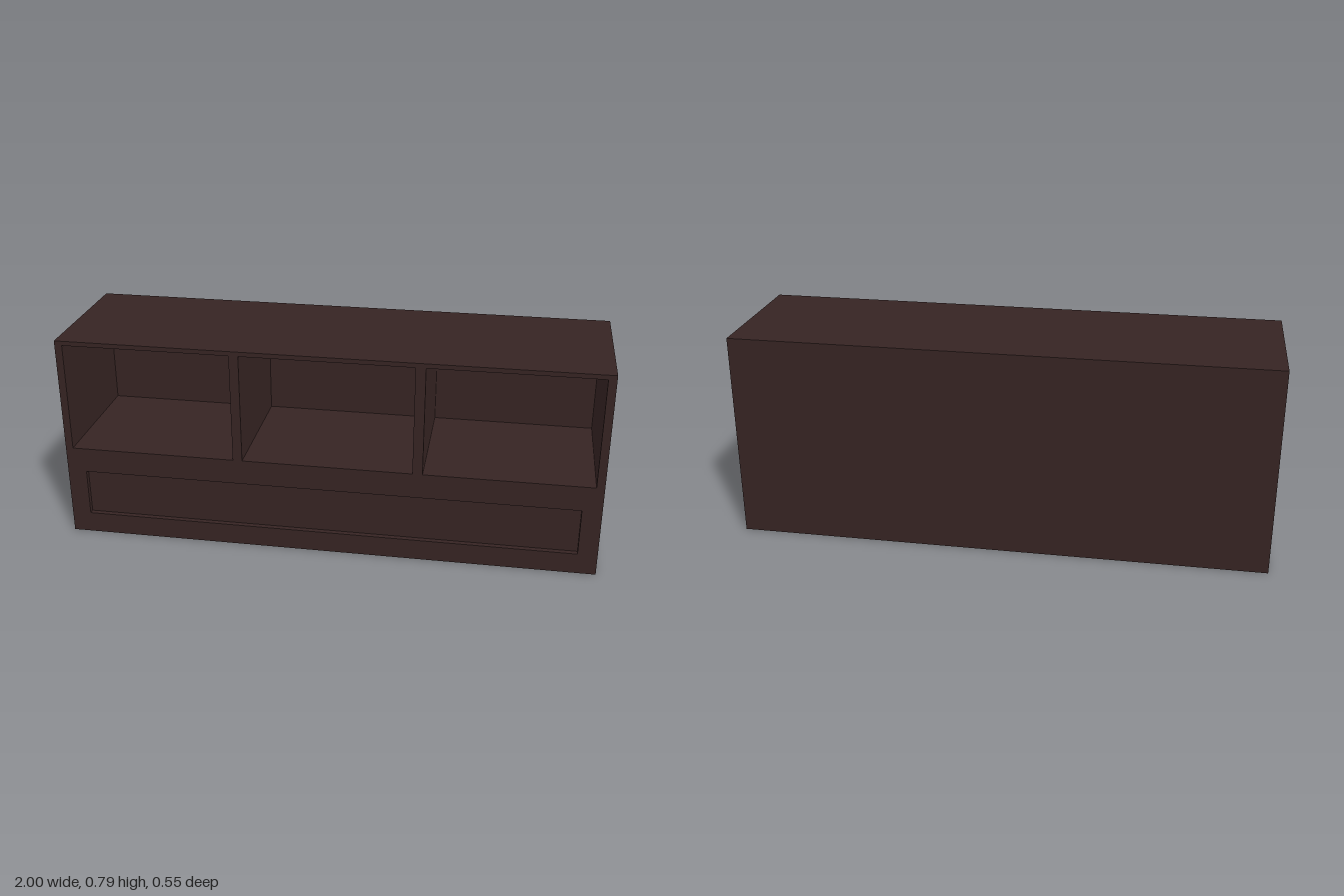
import * as THREE from 'three';

const WIDTH = 2, HEIGHT = 0.787, DEPTH = 0.548;
const BACK = 0.046;    // back panel thickness
const RECESS = 0.02;   // depth of the drawer recess

// Openings as [left, right, bottom, top]
const BAYS = [[-0.972, -0.35], [-0.315, 0.317], [0.354, 0.97]].map(([l, r]) => [l, r, 0.356, 0.77]);
const DRAWER = [-0.928, 0.928, 0.08, 0.26];

function trace(path, [l, r, b, t]) {
  path.moveTo(l, b);
  path.lineTo(r, b);
  path.lineTo(r, t);
  path.lineTo(l, t);
  path.closePath();
  return path;
}

// Slab with rectangular openings, from z to z + depth
function slab(name, openings, z, depth, material) {
  const shape = trace(new THREE.Shape(), [-WIDTH / 2, WIDTH / 2, 0, HEIGHT]);
  shape.holes = openings.map((o) => trace(new THREE.Path(), o));
  const geometry = new THREE.ExtrudeGeometry(shape, { depth, bevelEnabled: false });
  const mesh = new THREE.Mesh(geometry, material);
  mesh.name = name;
  mesh.position.z = z;
  return mesh;
}

export function createModel() {
  const group = new THREE.Group();
  group.name = 'sideboard';
  const darkWood = new THREE.MeshStandardMaterial({ color: 0x362423 });
  darkWood.name = 'dark wood';

  const zBack = -DEPTH / 2, zFront = DEPTH / 2;
  const zCore = zBack + BACK, zFace = zFront - RECESS;

  // Solid back, carcass with three open bays, front frame that also leaves the drawer recess
  group.add(slab('backPanel', [], zBack, BACK, darkWood));
  group.add(slab('carcass', BAYS, zCore, zFace - zCore, darkWood));
  group.add(slab('frontFrame', [...BAYS, DRAWER], zFace, RECESS, darkWood));
  return group;
}
